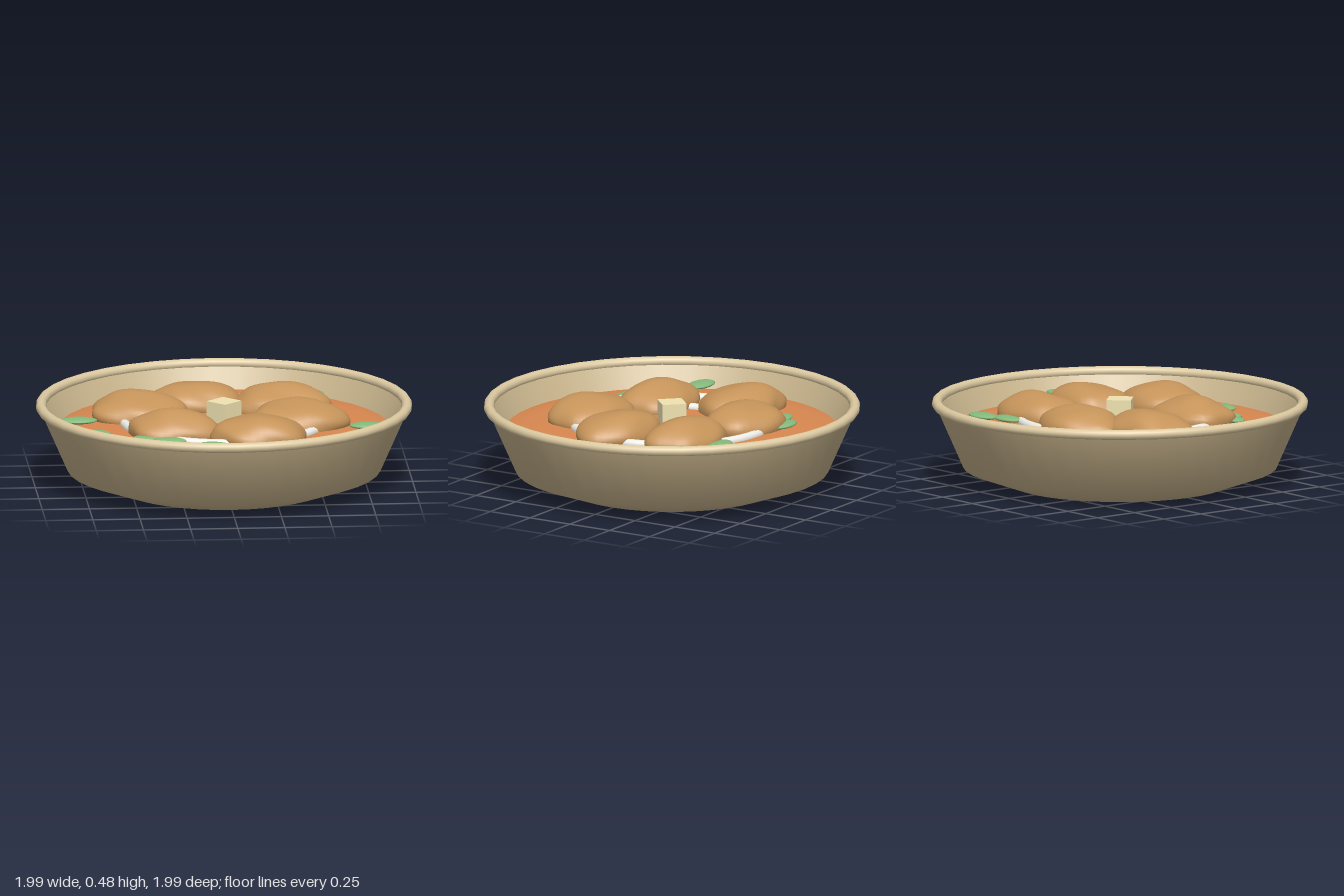
import * as THREE from 'three';

const mat = (color, side = THREE.FrontSide) => new THREE.MeshStandardMaterial({ color, side });
const SEG = 40;

function part(name, geometry, material, x = 0, y = 0, z = 0) {
  const mesh = new THREE.Mesh(geometry, material);
  mesh.name = name;
  mesh.position.set(x, y, z);
  return mesh;
}

function lathe(points) {
  return new THREE.LatheGeometry(points.map(([r, y]) => new THREE.Vector2(r, y)), SEG);
}

// Ellipsoid with soft bulges, varied by a phase value
function lumpGeometry(rx, ry, rz, phase) {
  const g = new THREE.SphereGeometry(1, 36, 24);
  const p = g.attributes.position;
  const v = new THREE.Vector3();
  for (let i = 0; i < p.count; i++) {
    v.fromBufferAttribute(p, i);
    const bulge = 1
      + 0.05 * Math.sin(3.2 * v.x + phase) * Math.cos(3.6 * v.z + phase * 0.7)
      + 0.035 * Math.sin(5 * v.z - 2 * v.x + phase * 1.7)
      + 0.02 * Math.sin(6 * v.x + 5 * v.y + phase);
    p.setXYZ(i, v.x * bulge * rx, v.y * bulge * ry, v.z * bulge * rz);
  }
  g.computeVertexNormals();
  // Join the normals across the sphere seam
  const n = g.attributes.normal;
  for (let row = 0; row <= 24; row++) {
    const a = row * 37, b = a + 36;
    v.set(n.getX(a) + n.getX(b), n.getY(a) + n.getY(b), n.getZ(a) + n.getZ(b)).normalize();
    n.setXYZ(a, v.x, v.y, v.z);
    n.setXYZ(b, v.x, v.y, v.z);
  }
  return g;
}

export function createModel() {
  const group = new THREE.Group();
  group.name = 'stewBowl';

  // Bowl: outer shell, inner wall and rounded rim
  const clay = mat(0xc8b48c, THREE.DoubleSide);
  group.add(part('bowlShell', lathe([[0, 0], [0.58, 0], [0.83, 0.09], [0.97, 0.41]]), clay));
  group.add(part('bowlInnerWall', lathe([[0.955, 0.43], [0.87, 0.28], [0.8, 0.16]]), clay));
  const rim = part('rim', new THREE.TorusGeometry(0.969, 0.027, 12, SEG), mat(0xdcc9a0), 0, 0.43, 0);
  rim.rotation.x = Math.PI / 2;
  group.add(rim);

  // Sauce surface, gently domed
  group.add(part('sauce', lathe([
    [0.885, 0.303], [0.82, 0.322], [0.74, 0.335], [0.66, 0.342], [0.55, 0.343], [0.3, 0.345], [0, 0.347],
  ]), mat(0xd98850, THREE.DoubleSide)));

  // Meat pieces: x, z, half width, half depth
  const meat = mat(0xc6945a);
  [
    [-0.13, -0.37, 0.255, 0.2],
    [0.32, -0.29, 0.265, 0.2],
    [0.385, 0.09, 0.265, 0.2],
    [0.155, 0.41, 0.255, 0.205],
    [-0.28, 0.265, 0.255, 0.2],
    [-0.44, -0.16, 0.262, 0.21],
  ].forEach(([x, z, rx, rz], i) => {
    group.add(part(`meatPiece${i + 1}`, lumpGeometry(rx, 0.113, rz, i * 1.1), meat, x, 0.36, z));
  });

  // Onion rings lying around the meat
  const onion = mat(0xf0eee8);
  [0.53, 0.31].forEach((r, i) => {
    const ring = part(`onionRing${i + 1}`, new THREE.TorusGeometry(r, 0.026, 10, 48), onion, 0, 0.347, 0);
    ring.rotation.x = Math.PI / 2;
    group.add(ring);
  });

  // Herb leaves floating on the sauce
  const leafGeo = new THREE.SphereGeometry(1, 20, 12).scale(0.1, 0.016, 0.06);
  const green = mat(0x84ba7c);
  [
    [0.75, 0.2], [0.47, -0.55], [0.32, -0.5], [-0.23, -0.55], [-0.33, -0.46],
    [-0.77, -0.02], [-0.72, 0.28], [-0.11, 0.6], [-0.32, 0.47], [-0.42, 0.41],
  ].forEach(([x, z], i) => group.add(part(`leaf${i + 1}`, leafGeo, green, x, 0.357, z)));

  // Butter pat set cornerwise in the middle
  const butter = part('butter', new THREE.BoxGeometry(0.13, 0.11, 0.13), mat(0xf0e2b0), 0, 0.4, 0);
  butter.rotation.y = Math.PI / 4;
  group.add(butter);

  return group;
}
